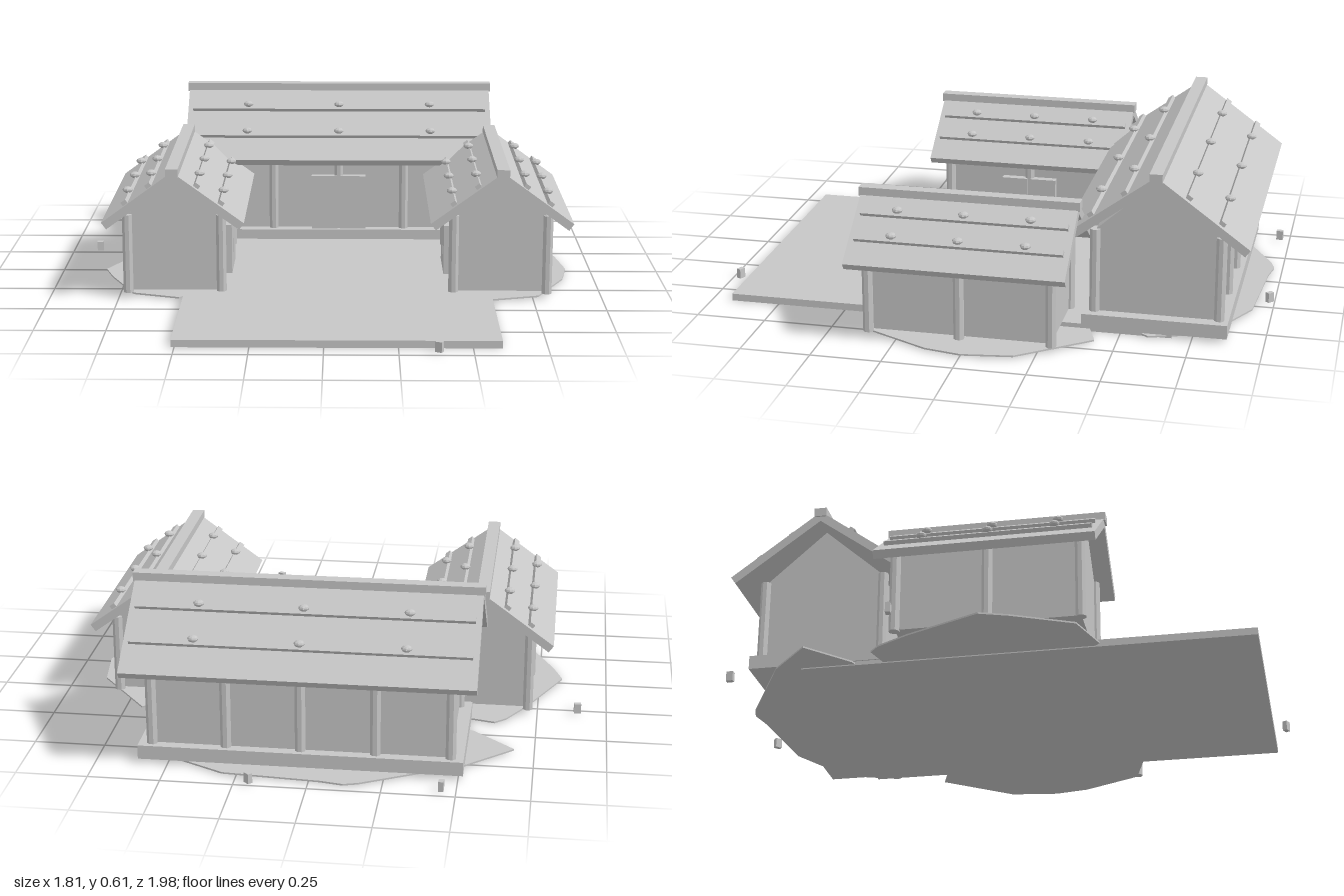
import * as THREE from 'three';

const stoneGrey = new THREE.MeshStandardMaterial({ color: 0xc6c6c6, flatShading: true });
stoneGrey.name = 'stone grey';

function add(parent, name, geometry, x = 0, y = 0, z = 0) {
  const mesh = new THREE.Mesh(geometry, stoneGrey);
  mesh.name = name;
  mesh.position.set(x, y, z);
  parent.add(mesh);
  return mesh;
}

const box = (w, h, d) => new THREE.BoxGeometry(w, h, d);

// Extrudes an x/y outline along z, centred on z = 0
function prism(points, length) {
  const shape = new THREE.Shape(points.map(([x, y]) => new THREE.Vector2(x, y)));
  const g = new THREE.ExtrudeGeometry(shape, { depth: length, bevelEnabled: false });
  return g.translate(0, 0, -length / 2);
}

const SLOPE = 0.73;
const ANGLE = Math.atan(SLOPE);

// Gabled building with its ridge along z; doorSide is the x side with the door
function building(o) {
  const g = new THREE.Group();
  g.name = o.name;

  // Walls with gable ends
  add(g, 'walls', prism([
    [-o.wall, o.floor], [o.wall, o.floor], [o.wall, o.eave], [0, o.apex], [-o.wall, o.eave],
  ], o.wallLength));

  // Posts along both long sides
  const postHeight = o.eave - o.postFoot;
  for (const side of [-1, 1]) {
    for (let i = 0; i < o.posts; i++) {
      const z = o.wallLength * (i / (o.posts - 1) - 0.5);
      const post = add(g, 'post', new THREE.CylinderGeometry(0.019, 0.019, postHeight, 8),
        side * (o.wall + 0.004), o.postFoot + postHeight / 2, z);
      post.rotation.y = Math.PI / 8;
    }
  }

  // Double door
  for (const s of [-1, 1]) {
    add(g, 'doorLeaf', box(0.03, o.doorHeight, 0.102),
      o.doorSide * (o.wall + 0.014), o.floor + o.doorHeight / 2, s * 0.056);
  }

  // Roof slabs
  const t = 0.03, nx = Math.sin(ANGLE) * t, ny = Math.cos(ANGLE) * t;
  const edge = o.peak - SLOPE * o.roof;
  add(g, 'roof', prism([
    [0, o.peak], [-o.roof, edge], [-o.roof + nx, edge - ny],
    [0, o.peak - t / Math.cos(ANGLE)], [o.roof - nx, edge - ny], [o.roof, edge],
  ], o.roofLength));
  add(g, 'ridgeBeam', box(0.045, 0.032, o.roofLength + 0.012), 0, o.peak - 0.004, 0);

  // Battens held down by stones
  for (const side of [-1, 1]) {
    for (const d of o.battens) {
      const y = o.peak - SLOPE * d;
      const batten = add(g, 'batten', box(0.021, 0.02, o.roofLength - 0.04), side * d, y + 0.006, 0);
      batten.rotation.z = -side * ANGLE;
      for (const i of [-1, 0, 1]) {
        const stone = add(g, 'roofStone', new THREE.SphereGeometry(0.019, 8, 6),
          side * (d + 0.002), y + 0.025, i * o.stoneGap);
        stone.scale.y = 0.62;
      }
    }
  }
  return g;
}

export function createModel() {
  const model = new THREE.Group();
  model.name = 'courtyardHouses';

  // Courtyard slab and hall plinth
  add(model, 'courtyard', box(1.11, 0.026, 1.605), 0.043, 0.013, 0.1225);
  add(model, 'hallPlinth', box(1.12, 0.05, 0.51), 0.043, 0.04, -0.617);

  // Main hall at the back, ridge along x
  const hall = building({
    name: 'mainHall', wall: 0.215, wallLength: 1.03, floor: 0.065, postFoot: 0.065,
    eave: 0.37, apex: 0.56, posts: 5, doorSide: -1, doorHeight: 0.215,
    peak: 0.6, roof: 0.325, roofLength: 1.205, battens: [0.11, 0.225], stoneGap: 0.361,
  });
  hall.rotation.y = Math.PI / 2;
  hall.position.set(0.042, 0, -0.62);
  model.add(hall);

  // Side wings with doors facing the courtyard
  for (const side of [-1, 1]) {
    const wing = building({
      name: side < 0 ? 'rightWing' : 'leftWing', wall: 0.165, wallLength: 0.645,
      floor: 0.028, postFoot: 0.02, eave: 0.31, apex: 0.445, posts: 3,
      doorSide: -side, doorHeight: 0.185,
      peak: 0.48, roof: 0.255, roofLength: 0.77, battens: [0.086, 0.172], stoneGap: 0.234,
    });
    wing.position.set(0.042 + side * 0.588, 0, 0.028);
    model.add(wing);
  }

  // Irregular flat ground patches, given as x/z outlines
  const patches = [
    [[0.59, 0.4], [0.77, 0.35], [0.88, 0.13], [0.905, 0], [0.88, -0.18], [0.74, -0.36],
      [0.69, -0.425], [0.5, -0.36], [0.38, -0.15], [0.36, 0.1], [0.45, 0.32]],
    [[-0.53, 0.385], [-0.7, 0.33], [-0.8, 0.12], [-0.835, 0.02], [-0.71, -0.25],
      [-0.64, -0.37], [-0.6, -0.405], [-0.42, -0.36], [-0.3, -0.1], [-0.33, 0.2]],
    [[-0.68, -0.625], [-0.52, -0.77], [-0.17, -0.955], [-0.12, -0.97], [-0.04, -0.955],
      [0.3, -0.93], [0.55, -0.8], [0.62, -0.6], [0.45, -0.4], [0, -0.32], [-0.53, -0.49]],
  ];
  for (const outline of patches) {
    add(model, 'groundPatch', prism(outline, 0.006).rotateX(Math.PI / 2), 0, 0.007, 0);
  }

  // Small loose blocks around the yard: x, z, turn
  const blocks = [[-0.895, -0.27, 0.1], [0.2, -0.982, -0.75], [0.384, 0.97, -0.45], [-0.45, -0.962, 1.5]];
  for (const [x, z, turn] of blocks) {
    add(model, 'looseBlock', box(0.025, 0.036, 0.018), x, 0.021, z).rotation.y = turn;
  }
  return model;
}
